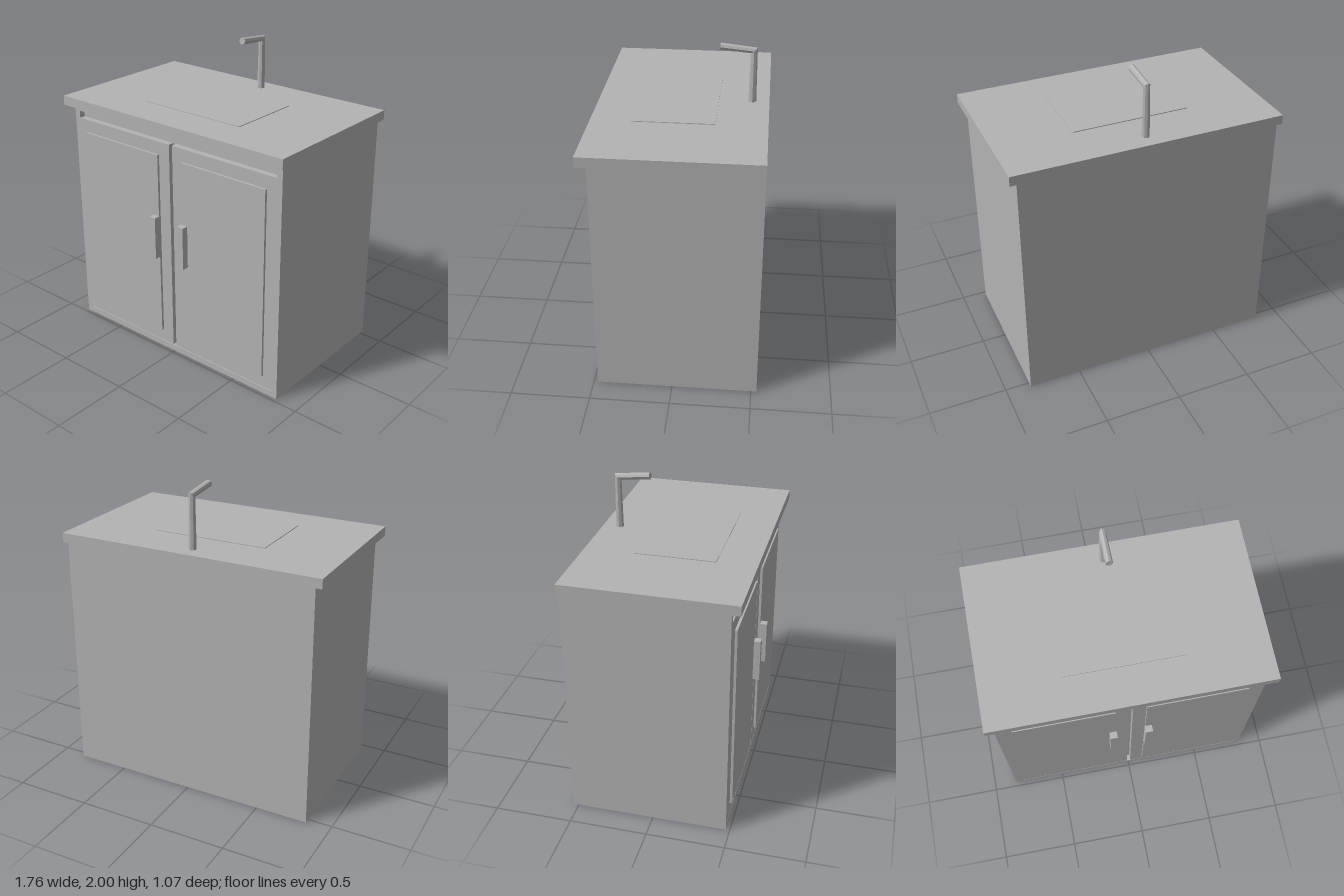
import * as THREE from 'three';

export function createModel() {
  const group = new THREE.Group();
  group.name = 'sinkCabinet';
  const grey = new THREE.MeshStandardMaterial({ color: 0xb3b3b3 });
  grey.name = 'grey';

  const add = (name, geometry) => {
    const mesh = new THREE.Mesh(geometry, grey);
    mesh.name = name;
    group.add(mesh);
    return mesh;
  };
  // Box given by its low and high corners
  const box = (name, x0, x1, y0, y1, z0, z1) =>
    add(name, new THREE.BoxGeometry(x1 - x0, y1 - y0, z1 - z0))
      .position.set((x0 + x1) / 2, (y0 + y1) / 2, (z0 + z1) / 2);

  // Carcass and the face frame around the door opening
  const back = -0.535, recess = 0.435, front = 0.475;
  box('carcass', -0.84, 0.84, 0, 1.56, back, recess);
  const rect = (path, x, y0, y1) =>
    path.moveTo(-x, y0).lineTo(x, y0).lineTo(x, y1).lineTo(-x, y1).closePath();
  const frame = rect(new THREE.Shape(), 0.84, 0, 1.56);
  frame.holes.push(rect(new THREE.Path(), 0.8, 0.042, 1.52));
  add('faceFrame', new THREE.ExtrudeGeometry(frame, { depth: front - recess, bevelEnabled: false }))
    .position.z = recess;

  // Doors with raised panels and bar handles
  for (const [side, s] of [['left', 1], ['right', -1]]) {
    const span = (name, a, b, ...rest) =>
      box(side + name, Math.min(s * a, s * b), Math.max(s * a, s * b), ...rest);
    span('Door', 0.0125, 0.8, 0.047, 1.472, recess, front);
    span('DoorPanel', 0.0975, 0.734, 0.13, 1.387, front, 0.491);
    span('Handle', 0.0925, 0.14, 0.688, 0.974, 0.491, 0.535);
  }

  // Worktop and the slightly raised basin plate
  box('worktop', -0.88, 0.88, 1.56, 1.622, -0.535, 0.535);
  box('basinPlate', -0.38, 0.38, 1.622, 1.627, -0.22, 0.285);

  // Tap: mitred tube through three rings [y, z, radius, ring axis y, ring axis z]
  const rings = [
    [1.62, -0.427, 0.025, 0, 1],
    [1.956, -0.428, 0.021, -0.88, 1],
    [1.977, -0.22, 0.023, -0.994, 0.11],
  ];
  const sides = 8, points = [], index = [];
  for (const [y, z, r, vy, vz] of rings) {
    for (let i = 0; i < sides; i++) {
      const a = (i / sides) * Math.PI * 2;
      points.push(r * Math.cos(a), y + r * Math.sin(a) * vy, z + r * Math.sin(a) * vz);
    }
  }
  for (let k = 0; k < rings.length - 1; k++) {
    for (let i = 0; i < sides; i++) {
      const a = k * sides + i, b = k * sides + (i + 1) % sides;
      index.push(a, a + sides, b, b, a + sides, b + sides);
    }
  }
  // Spout end cap
  const end = (rings.length - 1) * sides;
  for (let i = 1; i < sides - 1; i++) index.push(end, end + i + 1, end + i);
  const indexed = new THREE.BufferGeometry();
  indexed.setAttribute('position', new THREE.Float32BufferAttribute(points, 3));
  indexed.setIndex(index);
  const tap = indexed.toNonIndexed();
  tap.computeVertexNormals();
  add('tap', tap);

  return group;
}
